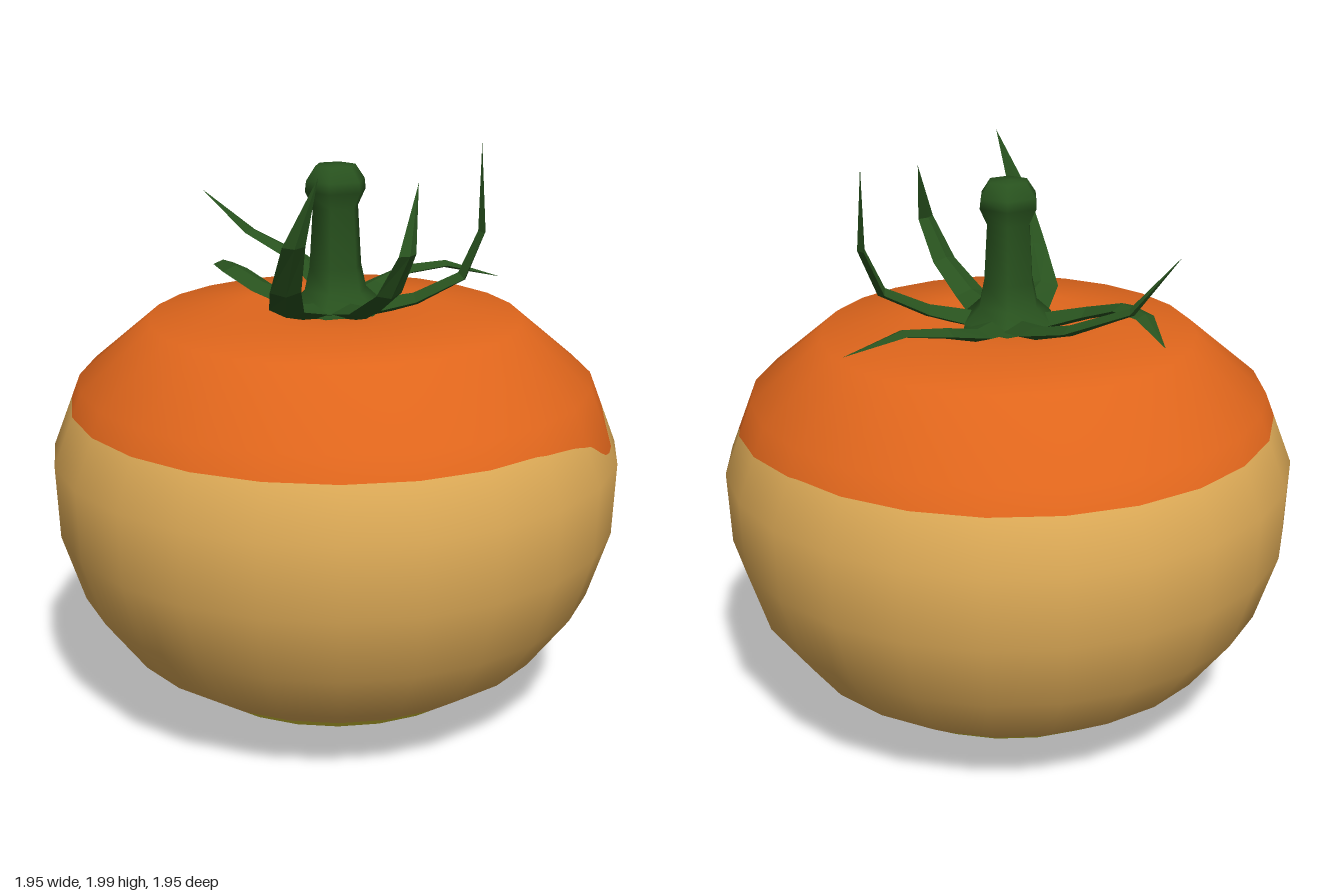
import * as THREE from 'three';

const paint = (name, color) => {
  const m = new THREE.MeshStandardMaterial({ color });
  m.name = name;
  return m;
};
const V = (x, y, z) => new THREE.Vector3(x, y, z);
const lerp = THREE.MathUtils.lerp;

// Surface from rows of points; normals are optional (flat facets without them)
function gridGeometry(rows, normals) {
  const n = rows[0].length, index = [];
  for (let i = 0; i < rows.length - 1; i++) {
    for (let j = 0; j < n - 1; j++) {
      const a = i * n + j, b = a + 1, c = a + n, d = c + 1;
      index.push(a, c, b, b, c, d);
    }
  }
  const flat = list => list.flat().flatMap(v => v.toArray());
  let g = new THREE.BufferGeometry();
  g.setAttribute('position', new THREE.Float32BufferAttribute(flat(rows), 3));
  g.setIndex(index);
  if (normals) g.setAttribute('normal', new THREE.Float32BufferAttribute(flat(normals), 3));
  else {
    g = g.toNonIndexed();
    g.computeVertexNormals();
  }
  return g;
}

// Fruit profile from the bottom centre up to the sunken top
const profile = [[0, 0.005], [0.27, 0.035], [0.53, 0.125], [0.745, 0.27], [0.89, 0.465], [0.965, 0.70],
  [0.975, 0.95], [0.878, 1.2], [0.635, 1.405], [0.31, 1.44], [0.14, 1.425], [0, 1.41]]
  .map(p => new THREE.Vector2(...p));
const profileNormals = profile.map((p, i) => {
  if (i === 0) return new THREE.Vector2(0, -1);
  if (i === profile.length - 1) return new THREE.Vector2(0, 1);
  const edge = (a, b) => new THREE.Vector2(b.y - a.y, a.x - b.x).normalize();
  return edge(profile[i - 1], p).add(edge(p, profile[i + 1])).normalize();
});
const along = (list, t) => {
  const i = Math.min(Math.floor(t), list.length - 2);
  return list[i].clone().lerp(list[i + 1], t - i);
};

// Lower edge of the orange cap: level, with one drip (angle in degrees, height)
const drip = [[-180, 1.12], [-15, 1.12], [6, 1.10], [18, 1.085], [26, 1.06], [31, 1.03], [34, 1.003], [37, 1.0],
  [41, 1.03], [45, 1.07], [52, 1.095], [65, 1.12], [181, 1.12]];
function capEdge(deg) {
  const a = deg > 180 ? deg - 360 : deg;
  const i = drip.findIndex((p, k) => k < drip.length - 1 && a <= drip[k + 1][0]);
  const [p, q] = [drip[i], drip[i + 1]];
  const y = lerp(p[1], q[1], (a - p[0]) / (q[0] - p[0]));
  return 6 + (y - 0.95) / 0.25;
}

// A coloured band of the 24-sided fruit; rows are profile positions or functions of angle
const SIDES = 24, SPLIT = 6, OFFSET = 3;
function fruitBand(rows) {
  const points = [], normals = [];
  for (const row of rows) {
    const ps = [], ns = [];
    for (let j = 0; j <= SIDES * SPLIT; j++) {
      const deg = OFFSET + j * 360 / (SIDES * SPLIT);
      const t = typeof row === 'function' ? row(deg) : row;
      const p = along(profile, t), n = along(profileNormals, t).normalize();
      const corner = k => {
        const a = THREE.MathUtils.degToRad(OFFSET + k * 360 / SIDES);
        return V(Math.cos(a) * p.x, p.y, Math.sin(a) * p.x);
      };
      const side = Math.floor(j / SPLIT);
      ps.push(corner(side).lerp(corner(side + 1), (j % SPLIT) / SPLIT));
      const a = THREE.MathUtils.degToRad(deg);
      ns.push(V(Math.cos(a) * n.x, n.y, Math.sin(a) * n.x));
    }
    points.push(ps);
    normals.push(ns);
  }
  return gridGeometry(points, normals);
}

// Pointed sepal: a diamond section swept along a few points
function sepalGeometry(path) {
  const pts = path.map(p => V(...p)), last = pts.length - 1;
  const widths = [0.085, 0.06, 0.05, 0.037, 0];
  const rows = pts.map((p, i) => {
    const before = pts[Math.max(i - 1, 0)], after = pts[Math.min(i + 1, last)];
    const flatEnd = pts[i >= last - 1 ? last - 1 : i + 1];
    const flatStart = pts[i === last ? last - 2 : Math.max(i - 1, 0)];
    const side = flatEnd.clone().sub(flatStart).setY(0).normalize().cross(V(0, 1, 0));
    const up = side.clone().cross(after.clone().sub(before)).normalize();
    const w = widths[i];
    return [[1, 0], [0, 0.35], [-1, 0], [0, -0.35], [1, 0]].map(([s, u]) =>
      p.clone().addScaledVector(side, s * w).addScaledVector(up, u * w));
  });
  return gridGeometry(rows);
}

export function createModel() {
  const orange = paint('orange', 0xe0661c);
  const tan = paint('tan', 0xdeab57);
  const olive = paint('olive', 0xd8c936);
  const green = paint('leafGreen', 0x28521e);

  const model = new THREE.Group();
  model.name = 'tomato';
  const add = (parent, name, geometry, material) => {
    const mesh = new THREE.Mesh(geometry, material);
    mesh.name = name;
    parent.add(mesh);
    return mesh;
  };

  // Fruit in three colours
  const fruit = new THREE.Group();
  fruit.name = 'fruit';
  model.add(fruit);
  const baseEdge = 2 + (0.18 - 0.125) / 0.145;
  add(fruit, 'fruitBase', fruitBand([0, 1, 2, baseEdge]), olive);
  add(fruit, 'fruitSide', fruitBand([baseEdge, 3, 4, 5, 6, capEdge]), tan);
  add(fruit, 'fruitCap', fruitBand([capEdge, 7, 8, 9, 10, 11]), orange);

  // Six-sided stem with a flared foot and a knob on top
  const stemProfile = [[0.17, 1.43], [0.165, 1.45], [0.11, 1.5], [0.092, 1.58], [0.08, 1.78],
    [0.107, 1.835], [0.103, 1.87], [0.07, 1.918], [0, 1.922]];
  const stem = add(model, 'stem',
    new THREE.LatheGeometry(stemProfile.map(p => new THREE.Vector2(...p)), 6), green);
  stem.rotation.y = Math.PI / 6;

  // Six curling sepals
  const sepals = new THREE.Group();
  sepals.name = 'sepals';
  model.add(sepals);
  [
    ['sepalBackLeft', [[0.1, 1.44, -0.07], [0.2, 1.46, -0.15], [0.33, 1.5, -0.19], [0.47, 1.515, -0.17], [0.67, 1.46, -0.14]]],
    ['sepalFrontLeft', [[0.1, 1.44, 0.07], [0.24, 1.475, 0.13], [0.39, 1.55, 0.17], [0.455, 1.7, 0.18], [0.47, 1.99, 0.13]]],
    ['sepalFront', [[0.01, 1.44, 0.1], [0.02, 1.47, 0.24], [0.05, 1.56, 0.38], [0.08, 1.7, 0.46], [0.15, 1.91, 0.37]]],
    ['sepalFrontRight', [[-0.1, 1.44, 0.07], [-0.23, 1.48, 0.18], [-0.28, 1.58, 0.33], [-0.29, 1.75, 0.45], [-0.23, 1.97, 0.51]]],
    ['sepalBackRight', [[-0.1, 1.44, -0.07], [-0.21, 1.48, -0.17], [-0.27, 1.52, -0.29], [-0.28, 1.52, -0.41], [-0.25, 1.47, -0.58]]],
    ['sepalBack', [[0.01, 1.44, -0.1], [0.04, 1.47, -0.25], [0, 1.52, -0.41], [-0.14, 1.6, -0.55], [-0.31, 1.76, -0.57]]],
  ].forEach(([name, path]) => add(sepals, name, sepalGeometry(path), green));

  return model;
}
